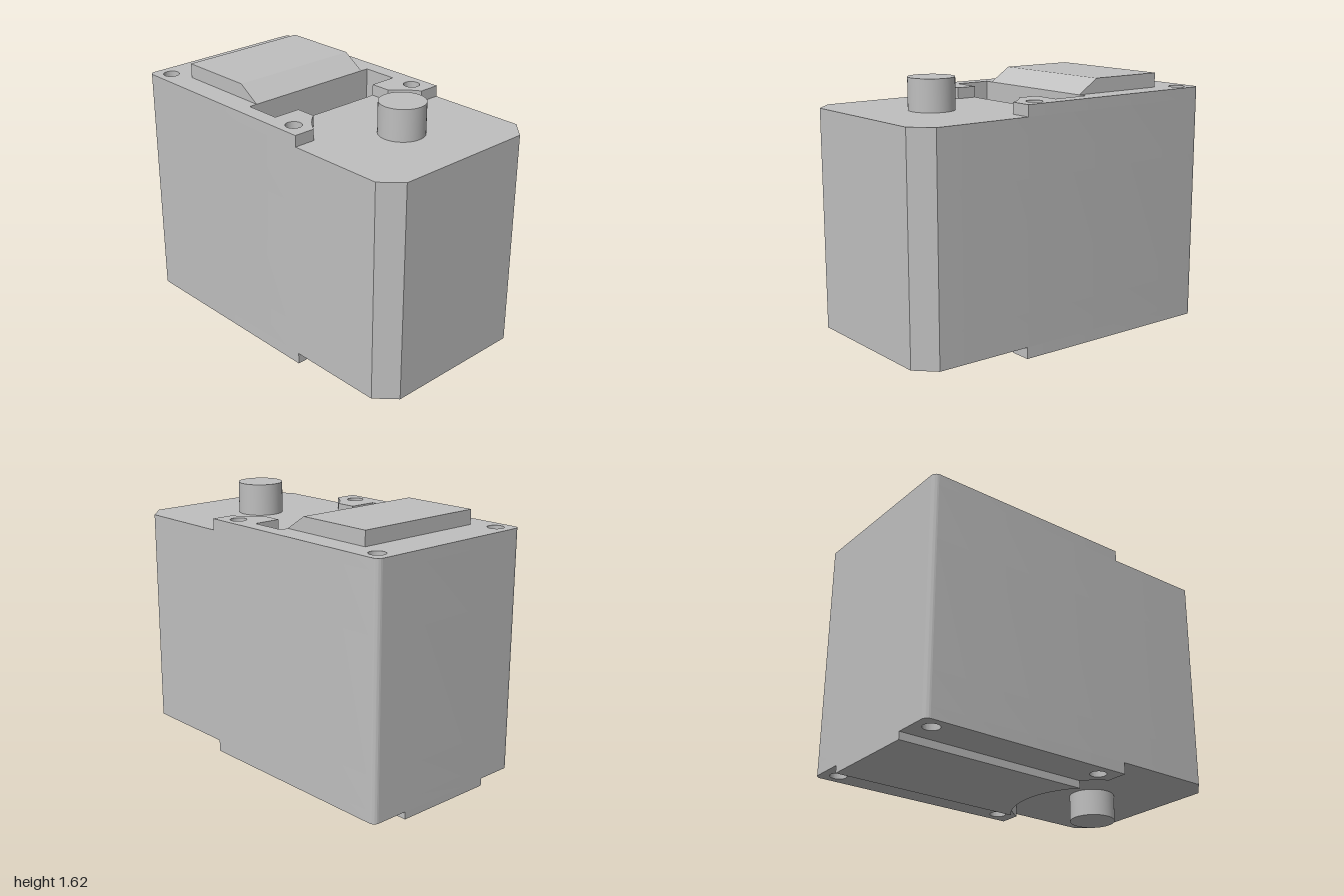
import * as THREE from 'three';
import { toCreasedNormals } from 'three/addons/utils/BufferGeometryUtils.js';

const SHAFT_X = 0.547;   // output shaft axis
const RECESS_R = 0.48;   // round clearance about the shaft
const HALF_Z = 0.543;
const STEP_X = 0.305;    // where the raised end plates stop
const SLOT = { x0: -0.175, x1: 0.04, z: 0.453 };
const HOLE_R = 0.047;
const SCREWS = [[-0.905, 0.453], [-0.905, -0.453], [0.19, 0.453], [0.19, -0.453]];

export function createModel() {
  const group = new THREE.Group();
  const grey = new THREE.MeshStandardMaterial({ color: 0xbfbfbf, side: THREE.DoubleSide });
  grey.name = 'casing grey';

  const add = (name, geometry, x = 0, y = 0, z = 0) => {
    const mesh = new THREE.Mesh(geometry, grey);
    mesh.name = name;
    mesh.position.set(x, y, z);
    group.add(mesh);
    return mesh;
  };

  // Extrude a plan outline (x, -z) upward from y0 to y1
  const slab = (name, shape, y0, y1) => {
    const geo = new THREE.ExtrudeGeometry(shape, { depth: y1 - y0, bevelEnabled: false, curveSegments: 24 });
    geo.rotateX(-Math.PI / 2);
    return add(name, toCreasedNormals(geo, 0.5), 0, y0, 0);
  };

  // Rounded corners at the -x end, shared by every outline
  const roundedEnd = (s) => {
    const r = 0.035;
    s.lineTo(-1 + r, HALF_Z);
    s.absarc(-1 + r, HALF_Z - r, r, Math.PI / 2, Math.PI, false);
    s.lineTo(-1, -HALF_Z + r);
    s.absarc(-1 + r, -HALF_Z + r, r, Math.PI, Math.PI * 1.5, false);
  };

  const drill = (s) => {
    for (const [x, z] of SCREWS) {
      const hole = new THREE.Path();
      hole.absarc(x, z, HOLE_R, 0, Math.PI * 2, true);
      s.holes.push(hole);
    }
  };

  const bodyOutline = () => {
    const s = new THREE.Shape();
    s.moveTo(1, -0.435);
    s.lineTo(1, 0.435);
    s.lineTo(0.89, HALF_Z);
    roundedEnd(s);
    s.lineTo(0.89, -HALF_Z);
    s.closePath();
    return s;
  };

  // Angle and x of the round clearance at a given z
  const arcAngle = (z) => Math.PI - Math.asin(z / RECESS_R);
  const arcX = (z) => SHAFT_X - Math.sqrt(RECESS_R ** 2 - z ** 2);
  const stepZ = Math.sqrt(RECESS_R ** 2 - (SHAFT_X - STEP_X) ** 2);

  // Main casing: drilled lower layer, solid middle, drilled and slotted upper layer
  const lower = bodyOutline();
  drill(lower);
  slab('lowerCasing', lower, 0.153, 0.35);
  slab('middleCasing', bodyOutline(), 0.35, 1.1);
  const upper = bodyOutline();
  drill(upper);
  const slot = new THREE.Path();
  slot.moveTo(SLOT.x0, -SLOT.z);
  slot.lineTo(SLOT.x0, SLOT.z);
  slot.lineTo(SLOT.x1, SLOT.z);
  slot.lineTo(SLOT.x1, -SLOT.z);
  slot.closePath();
  upper.holes.push(slot);
  slab('upperCasing', upper, 1.1, 1.432);

  // Top plate, cut away round the shaft and over the slot
  const lipZ = 0.287;
  const top = new THREE.Shape();
  top.moveTo(STEP_X, stepZ);
  top.lineTo(STEP_X, HALF_Z);
  roundedEnd(top);
  top.lineTo(STEP_X, -HALF_Z);
  top.lineTo(STEP_X, -stepZ);
  top.absarc(SHAFT_X, 0, RECESS_R, arcAngle(-stepZ), arcAngle(-lipZ), true);
  top.lineTo(SLOT.x1, -lipZ);
  top.lineTo(SLOT.x1, -SLOT.z);
  top.lineTo(SLOT.x0, -SLOT.z);
  top.lineTo(SLOT.x0, SLOT.z);
  top.lineTo(SLOT.x1, SLOT.z);
  top.lineTo(SLOT.x1, lipZ);
  top.lineTo(arcX(lipZ), lipZ);
  top.absarc(SHAFT_X, 0, RECESS_R, arcAngle(lipZ), arcAngle(stepZ), true);
  drill(top);
  slab('topPlate', top, 1.432, 1.497);

  // Bottom plate with round clearance
  const bottom = new THREE.Shape();
  bottom.moveTo(STEP_X, stepZ);
  bottom.lineTo(STEP_X, HALF_Z);
  roundedEnd(bottom);
  bottom.lineTo(STEP_X, -HALF_Z);
  bottom.lineTo(STEP_X, -stepZ);
  bottom.absarc(SHAFT_X, 0, RECESS_R, arcAngle(-stepZ), arcAngle(stepZ), true);
  drill(bottom);
  slab('bottomPlate', bottom, 0.086, 0.153);

  // Raised strip along the underside
  const stripZ = 0.31;
  const strip = new THREE.Shape();
  strip.moveTo(arcX(stripZ), stripZ);
  strip.lineTo(-1, stripZ);
  strip.lineTo(-1, -stripZ);
  strip.lineTo(arcX(stripZ), -stripZ);
  strip.absarc(SHAFT_X, 0, RECESS_R, arcAngle(-stripZ), arcAngle(stripZ), true);
  slab('undersideStrip', strip, 0.042, 0.086);

  // Raised cover with a sloped end
  const cover = new THREE.Shape();
  cover.moveTo(-0.77, 1.497);
  cover.lineTo(SLOT.x0, 1.497);
  cover.lineTo(-0.305, 1.582);
  cover.lineTo(-0.77, 1.582);
  cover.closePath();
  add('topCover', new THREE.ExtrudeGeometry(cover, { depth: 0.808, bevelEnabled: false }), 0, 0, -0.404);

  // Conical ends of the screw holes
  for (const [x, z] of SCREWS) {
    add('topScrewHoleEnd', new THREE.CylinderGeometry(HOLE_R, 0, 0.04, 32, 1, true), x, 1.32, z);
    add('bottomScrewHoleEnd', new THREE.CylinderGeometry(0, HOLE_R, 0.04, 32, 1, true), x, 0.265, z);
  }

  // Output shaft above, pivot pin below
  const pin = (name, y0, y1) =>
    add(name, new THREE.CylinderGeometry(0.131, 0.131, y1 - y0, 48), SHAFT_X, (y0 + y1) / 2, 0);
  pin('outputShaft', 1.432, 1.615);
  pin('pivotPin', 0, 0.153);

  return group;
}
